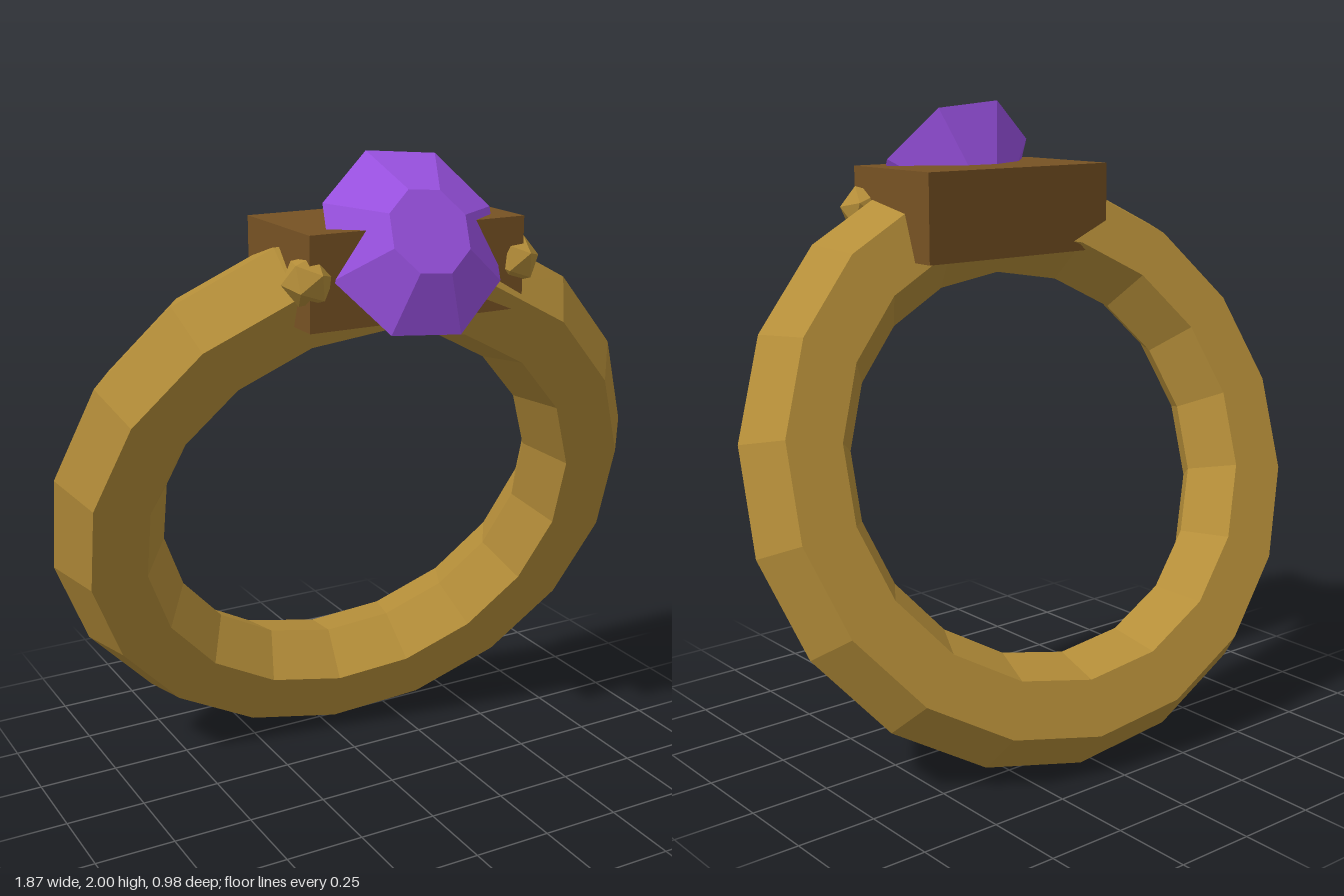
import * as THREE from 'three';

const flat = (name, color) => {
  const m = new THREE.MeshStandardMaterial({ color, flatShading: true });
  m.name = name;
  return m;
};

export function createModel() {
  const gold = flat('gold', 0xb58e39);
  const brown = flat('brown', 0x775223);
  const purple = flat('purple', 0x9b52e3);

  const model = new THREE.Group();
  model.name = 'gemRing';
  const add = (name, geometry, material, x, y, z) => {
    const mesh = new THREE.Mesh(geometry, material);
    mesh.name = name;
    mesh.position.set(x, y, z);
    model.add(mesh);
    return mesh;
  };
  const rad = THREE.MathUtils.degToRad;

  // Band: six-sided tube in eighteen segments, leaning forward
  const bandGeometry = new THREE.TorusGeometry(0.777, 0.173, 6, 18).rotateZ(rad(10));
  const band = add('band', bandGeometry, gold, 0, 0.904, -0.043);
  band.rotation.set(rad(19), rad(-8.5), 0, 'YXZ');

  // Block that holds the gem
  add('settingBlock', new THREE.BoxGeometry(0.695, 0.27, 0.388), brown, -0.002, 1.675, 0.191);

  // Gem: pavilion point, girdle, crown and flat table
  const gemProfile = [[0, -0.255], [0.29, 0], [0.13, 0.1], [0, 0.1]]
    .map(([r, y]) => new THREE.Vector2(r, y));
  const gem = add('gem', new THREE.LatheGeometry(gemProfile, 8, rad(17)), purple, 0, 1.755, 0.344);
  gem.rotation.x = rad(63.3);

  // Faceted beads on both front corners
  for (const [name, side] of [['leftBead', 1], ['rightBead', -1]]) {
    const bead = add(name, new THREE.IcosahedronGeometry(0.075, 0), gold, side * 0.338, 1.68, 0.35);
    bead.rotation.set(0.2, 0.3, 0.2);
  }

  return model;
}
